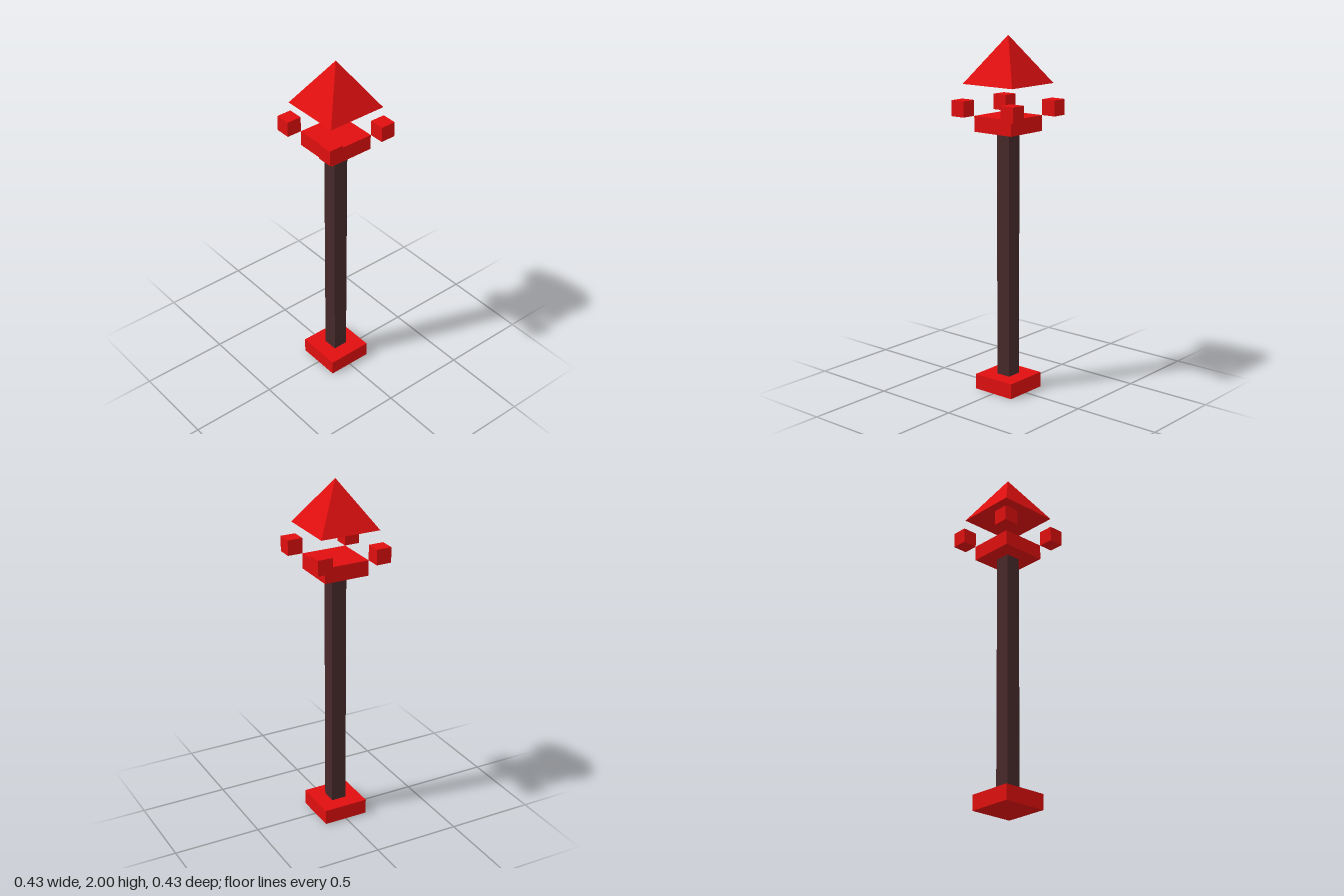
import * as THREE from 'three';

export function createModel() {
  const model = new THREE.Group();
  const U = 2 / 23; // block unit: the whole lamp post is 23 units tall

  const red = new THREE.MeshStandardMaterial({ name: 'red', color: 0xe00f0f });
  const darkBrown = new THREE.MeshStandardMaterial({ name: 'dark brown', color: 0x472929 });

  function add(name, geometry, material, x, y, z) {
    const mesh = new THREE.Mesh(geometry, material);
    mesh.name = name;
    mesh.position.set(x * U, y * U, z * U);
    model.add(mesh);
  }
  const block = (w, h, d) => new THREE.BoxGeometry(w * U, h * U, d * U);

  // Base, post and the platform on top of it
  add('base', block(3, 1, 3), red, 0, 0.5, 0);
  add('post', block(1, 16, 1), darkBrown, 0, 9, 0);
  add('platform', block(3, 1, 3), red, 0, 17.5, 0);

  // Corner cubes touching the platform's upper corners
  for (const x of [-2, 2]) {
    for (const z of [-2, 2]) add('cornerCube', block(1, 1, 1), red, x, 18.5, z);
  }

  // Floating pyramid roof, turned square to the post, with flat facets
  const cone = new THREE.ConeGeometry(2 * Math.SQRT2 * U, 3 * U, 4);
  cone.rotateY(Math.PI / 4);
  const pyramid = cone.toNonIndexed();
  pyramid.computeVertexNormals();
  add('roof', pyramid, red, 0, 21.5, 0);

  return model;
}
